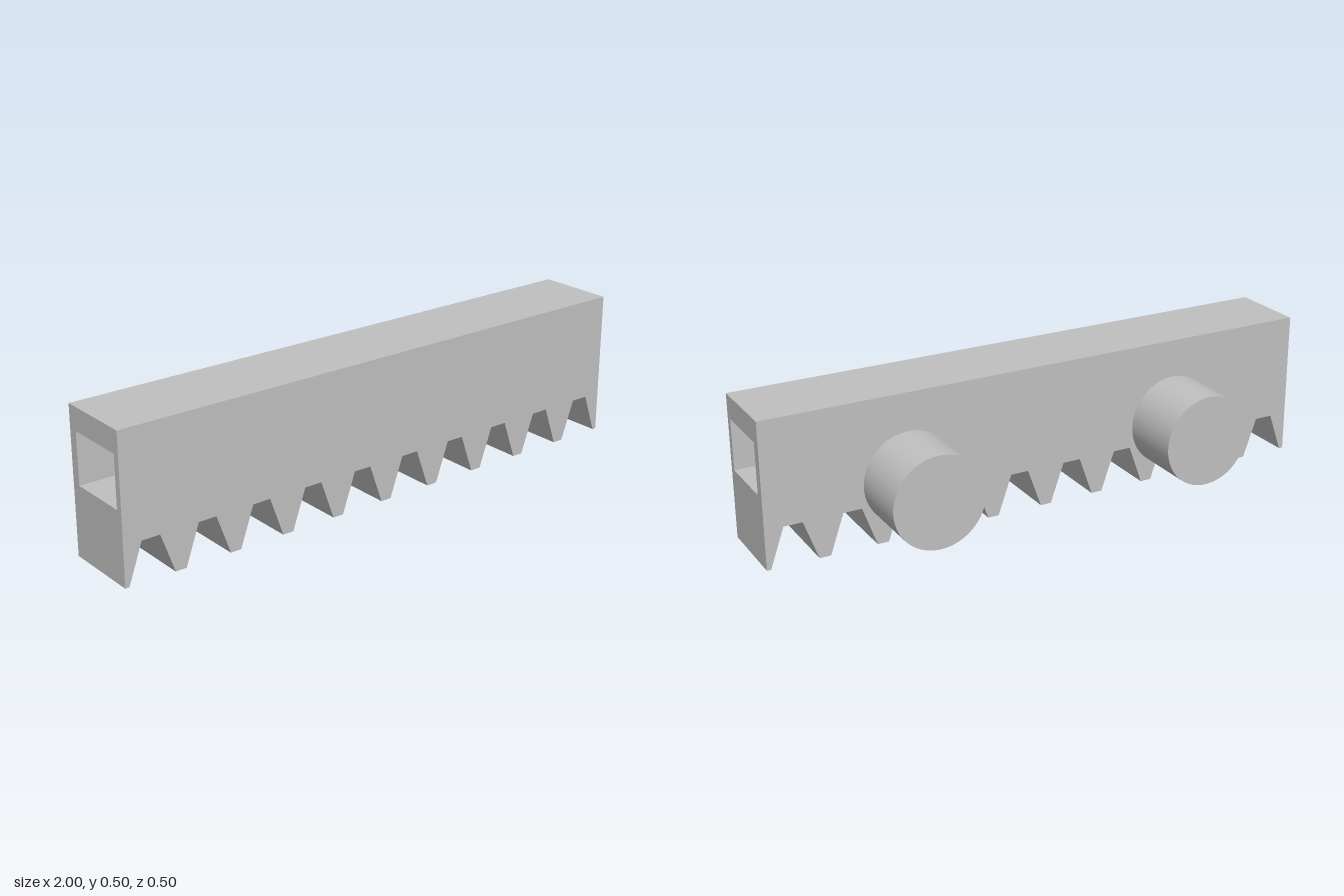
import * as THREE from 'three';

const LENGTH = 2, HEIGHT = 0.503;
const BACK = -0.024, FRONT = 0.248;          // bar depth range
const CHANNEL = { y0: 0.247, y1: 0.424, z0: 0.009, z1: 0.225 };
const TEETH = { gaps: 10, pitch: 0.201, height: 0.138, halfTop: 0.032, halfBottom: 0.081 };
const PEG = { x: 0.502, y: 0.211, radius: 0.16 };

const shapeFrom = (points) => new THREE.Shape(points.map(([x, y]) => new THREE.Vector2(x, y)));
const extrude = (shape, depth) => new THREE.ExtrudeGeometry(shape, { depth, bevelEnabled: false });

export function createModel() {
  const model = new THREE.Group();
  model.name = 'gearRack';
  const grey = new THREE.MeshStandardMaterial({ color: 0xc0c0c0 });
  grey.name = 'light grey';

  const add = (name, geometry) => {
    const mesh = new THREE.Mesh(geometry, grey);
    mesh.name = name;
    model.add(mesh);
    return mesh;
  };

  // Toothed lower bar, its top is the floor of the channel
  const half = LENGTH / 2;
  const profile = [[-half, 0]];
  for (let i = 0; i < TEETH.gaps; i++) {
    const x = (i - (TEETH.gaps - 1) / 2) * TEETH.pitch;
    profile.push(
      [x - TEETH.halfBottom, 0], [x - TEETH.halfTop, TEETH.height],
      [x + TEETH.halfTop, TEETH.height], [x + TEETH.halfBottom, 0]
    );
  }
  profile.push([half, 0], [half, CHANNEL.y0], [-half, CHANNEL.y0]);
  add('toothedBar', extrude(shapeFrom(profile), FRONT - BACK).translate(0, 0, BACK));

  // Upper housing: side walls and roof around the open-ended channel
  const { y0, y1, z0, z1 } = CHANNEL;
  const section = shapeFrom([
    [-FRONT, y0], [-z1, y0], [-z1, y1], [-z0, y1],
    [-z0, y0], [-BACK, y0], [-BACK, HEIGHT], [-FRONT, HEIGHT]
  ]);
  add('channelHousing', extrude(section, LENGTH).rotateY(Math.PI / 2).translate(-half, 0, 0));

  // Two round mounting pegs on the back
  const pegLength = FRONT + BACK;
  for (const side of [-1, 1]) {
    const peg = add(side > 0 ? 'leftPeg' : 'rightPeg',
      new THREE.CylinderGeometry(PEG.radius, PEG.radius, pegLength, 64).rotateX(Math.PI / 2));
    peg.position.set(side * PEG.x, PEG.y, BACK - pegLength / 2);
  }

  return model;
}
